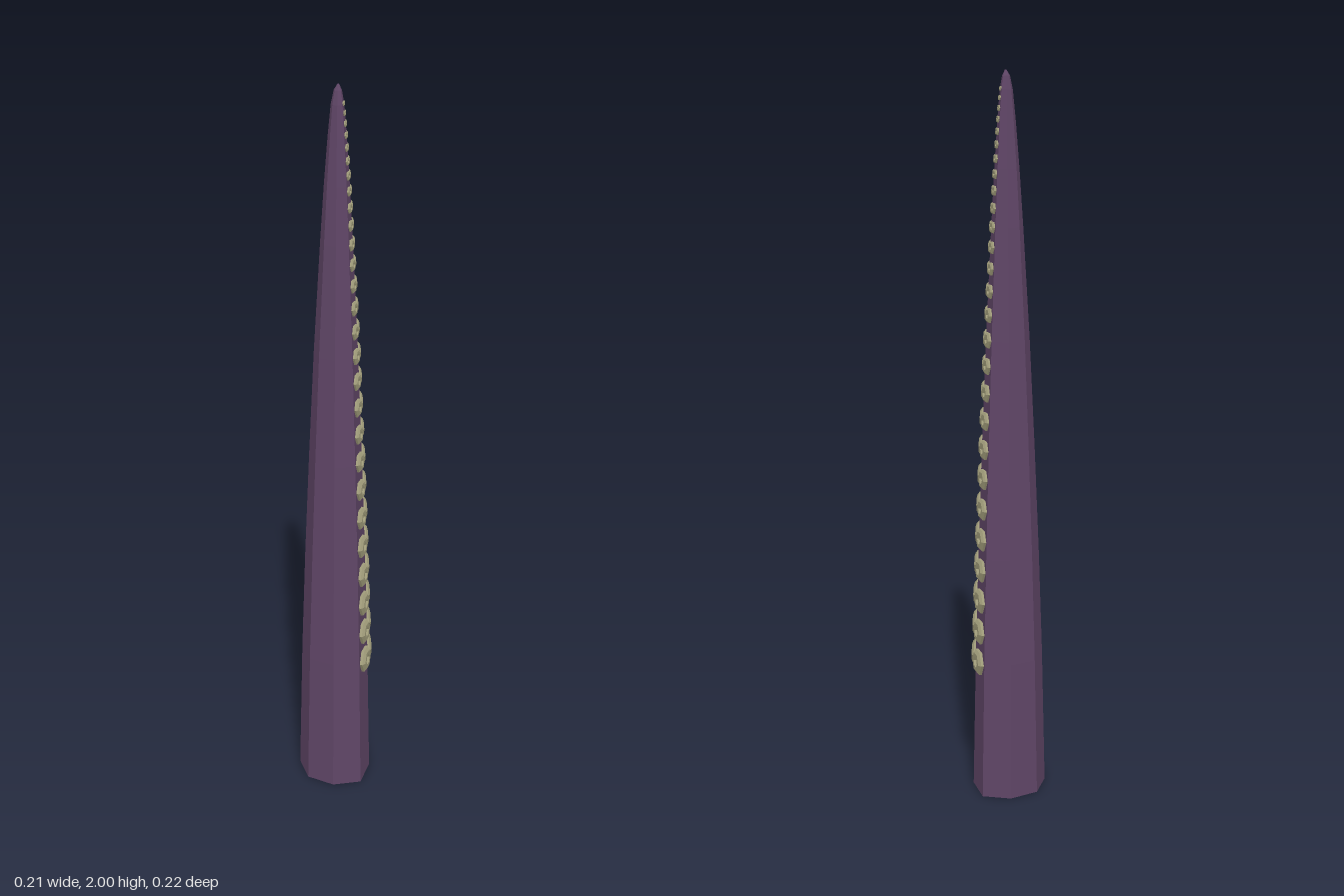
import * as THREE from 'three';

// Slightly irregular octagon at the foot, as [x, z] corners
const OUTLINE = [
  [0.104, 0.056], [0.086, -0.035], [0.036, -0.109], [-0.045, -0.1],
  [-0.105, -0.04], [-0.105, 0.047], [-0.044, 0.107], [0.04, 0.107],
];
// Taper as [height, scale]
const TAPER = [
  [0, 1], [0.4, 0.91], [0.7, 0.815], [1, 0.7], [1.3, 0.57], [1.6, 0.41],
  [1.75, 0.32], [1.87, 0.235], [1.95, 0.165], [1.985, 0.1], [2, 0.02],
];

function scaleAt(y) {
  for (let i = 1; i < TAPER.length; i++) {
    const [y0, k0] = TAPER[i - 1], [y1, k1] = TAPER[i];
    if (y <= y1) return k0 + (k1 - k0) * (y - y0) / (y1 - y0);
  }
  return 0;
}

function corner(i, y) {
  const [x, z] = OUTLINE[i % OUTLINE.length], k = scaleAt(y);
  return new THREE.Vector3(x * k, y, z * k);
}

// Tapered skin with closed ends
function bodyGeometry() {
  const pos = [], idx = [], n = OUTLINE.length, last = TAPER.length - 1;
  for (const [y] of TAPER)
    for (let i = 0; i < n; i++) pos.push(...corner(i, y).toArray());
  for (let r = 0; r < last; r++)
    for (let i = 0; i < n; i++) {
      const a = r * n + i, b = r * n + (i + 1) % n;
      idx.push(a, b, b + n, a, b + n, a + n);
    }
  for (let i = 1; i < n - 1; i++) {
    idx.push(0, i + 1, i);
    idx.push(last * n, last * n + i, last * n + i + 1);
  }
  const g = new THREE.BufferGeometry();
  g.setAttribute('position', new THREE.Float32BufferAttribute(pos, 3));
  g.setIndex(idx);
  const flat = g.toNonIndexed();
  flat.computeVertexNormals();
  return flat;
}

// Six-sided cup with a bevelled rim and a recessed centre, unit radius
function suckerGeometry() {
  const profile = [[1, -0.15], [1, 0.2], [0.75, 0.38], [0.42, 0.38], [0.32, 0.12], [0, 0.12]];
  return new THREE.LatheGeometry(profile.map(p => new THREE.Vector2(...p)), 6);
}

export function createModel() {
  const skin = new THREE.MeshStandardMaterial({ color: 0x5f4566, flatShading: true });
  skin.name = 'purple skin';
  const cup = new THREE.MeshStandardMaterial({ color: 0xa09c7a, flatShading: true });
  cup.name = 'pale olive sucker';

  const model = new THREE.Group();
  model.name = 'tentacle';
  const body = new THREE.Mesh(bodyGeometry(), skin);
  body.name = 'tentacleBody';
  model.add(body);

  // Two columns of suckers on neighbouring faces, shrinking towards the tip
  const geometry = suckerGeometry();
  ['frontSuckerColumn', 'backSuckerColumn'].forEach((name, face) => {
    const column = new THREE.Group();
    column.name = name;
    const middle = y => corner(face, y).add(corner(face + 1, y)).multiplyScalar(0.5);
    for (let y = 0.39; y < 1.97; y += 0.09 - 0.028 * (y - 0.39) ** 2) {
      const up = middle(y + 0.01).sub(middle(y - 0.01)).normalize();
      const across = corner(face, y).sub(corner(face + 1, y)).normalize();
      const normal = across.clone().cross(up).negate().normalize();
      if (normal.x < 0) normal.negate();
      across.crossVectors(up, normal).normalize();
      const sucker = new THREE.Mesh(geometry, cup);
      sucker.name = 'sucker';
      sucker.quaternion.setFromRotationMatrix(new THREE.Matrix4().makeBasis(up, normal, across));
      sucker.position.copy(middle(y));
      sucker.scale.setScalar(0.041 * scaleAt(y));
      column.add(sucker);
    }
    model.add(column);
  });
  return model;
}
